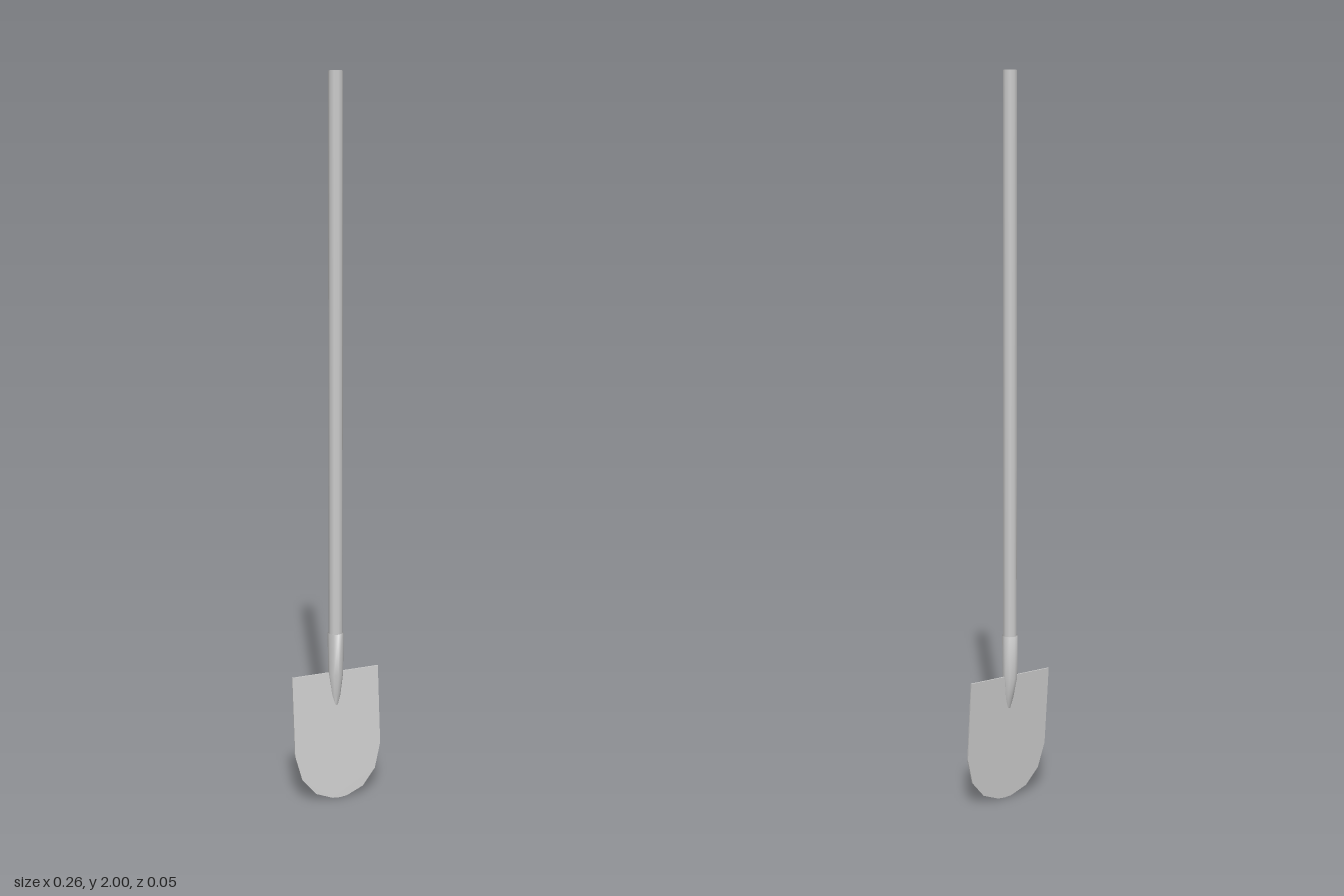
import * as THREE from 'three';

const SIDES = 10;
const AXIS_Z = -0.005; // the pole stands slightly behind the centre

// The blade leans forward towards its tip
const bladeZ = (y) => 0.0235 - 0.0835 * y;

// Solid of elliptical sections, listed from bottom to top: [y, z, rx, rz]
function loft(sections) {
  const pos = [], idx = [];
  for (const [y, z, rx, rz] of sections) {
    for (let i = 0; i < SIDES; i++) {
      const a = (i / SIDES) * Math.PI * 2;
      pos.push(Math.sin(a) * rx, y, z + Math.cos(a) * rz);
    }
  }
  const rings = sections.length;
  for (let r = 0; r < rings - 1; r++) {
    for (let i = 0; i < SIDES; i++) {
      const a = r * SIDES + i, b = r * SIDES + (i + 1) % SIDES;
      idx.push(a, b, b + SIDES, a, b + SIDES, a + SIDES);
    }
  }
  // End caps
  const top = (rings - 1) * SIDES;
  for (let i = 1; i < SIDES - 1; i++) {
    idx.push(0, i + 1, i, top, top + i, top + i + 1);
  }
  const geo = new THREE.BufferGeometry();
  geo.setAttribute('position', new THREE.Float32BufferAttribute(pos, 3));
  geo.setIndex(idx);
  geo.computeVertexNormals();
  return geo;
}

// Thin plate with a straight top and a faceted round tip
function bladeGeometry() {
  const half = [[0.13, 0.365], [0.13, 0.14], [0.111, 0.068], [0.072, 0.022], [0.022, 0.002]];
  const outline = [
    ...half.map(([x, y]) => new THREE.Vector2(-x, y)),
    new THREE.Vector2(0, 0),
    ...half.map(([x, y]) => new THREE.Vector2(x, y)).reverse(),
  ];
  const geo = new THREE.ExtrudeGeometry(new THREE.Shape(outline), { depth: 0.004, bevelEnabled: false });
  const p = geo.attributes.position;
  for (let i = 0; i < p.count; i++) p.setZ(i, p.getZ(i) - 0.002 + bladeZ(p.getY(i)));
  geo.computeVertexNormals();
  return geo;
}

export function createModel() {
  const group = new THREE.Group();
  group.name = 'shovel';
  const material = new THREE.MeshStandardMaterial({ color: 0xcccccc });
  const add = (name, geometry) => {
    const mesh = new THREE.Mesh(geometry, material);
    mesh.name = name;
    group.add(mesh);
    return mesh;
  };

  // Long pole
  const handle = add('handle', new THREE.CylinderGeometry(0.0195, 0.0195, 1.62, SIDES));
  handle.position.set(0, 1.19, AXIS_Z);

  // Socket gripping the pole and flattening into the blade
  add('socket', loft([
    [0.27, bladeZ(0.27), 0.005, 0.003],
    [0.3, bladeZ(0.3), 0.013, 0.008],
    [0.36, AXIS_Z, 0.021, 0.0215],
    [0.48, AXIS_Z, 0.0225, 0.022],
  ]));

  add('blade', bladeGeometry());
  return group;
}
